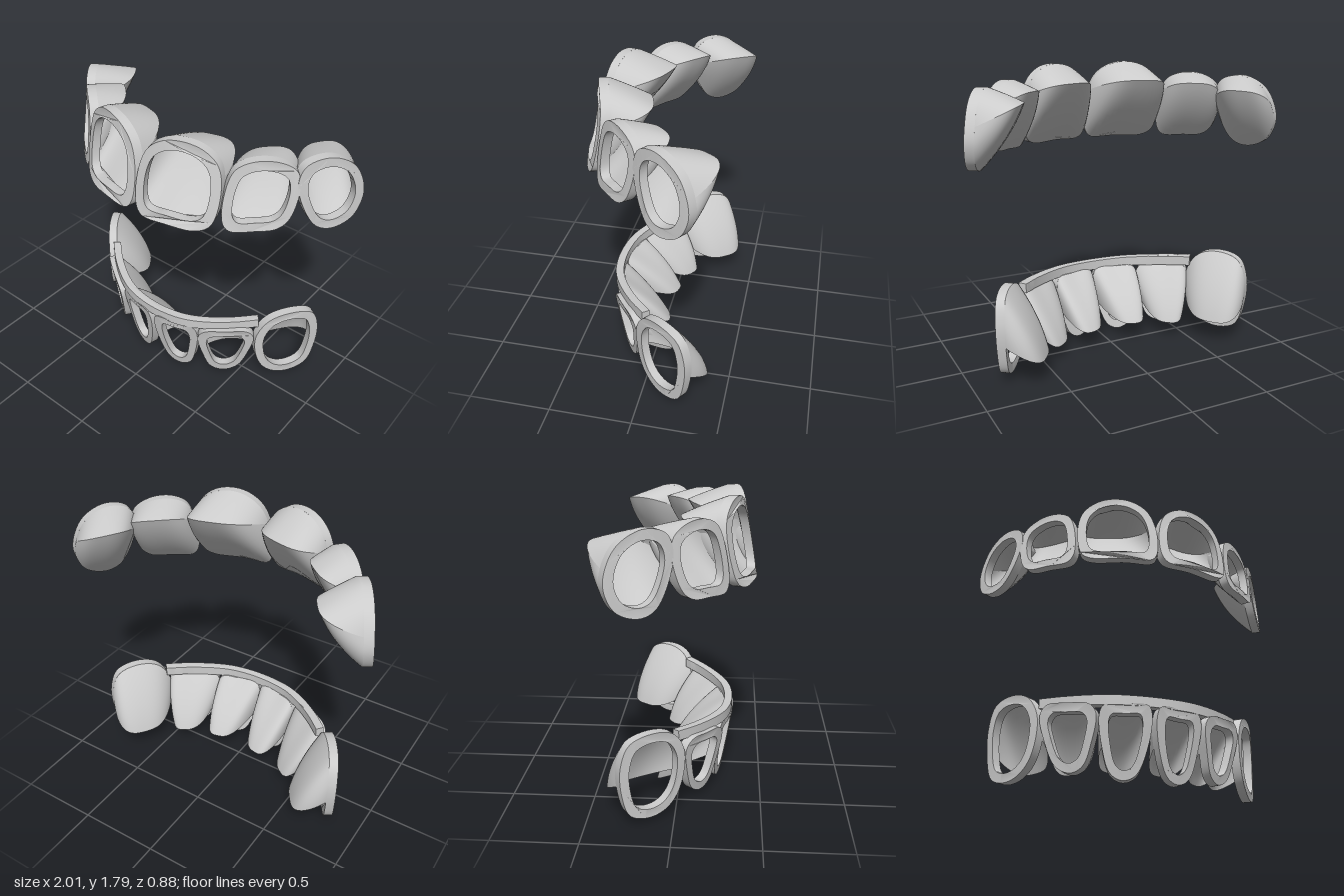
import * as THREE from 'three';
import { toCreasedNormals } from 'three/addons/utils/BufferGeometryUtils.js';

const RIM = 0.055;   // frame width
const DEPTH = 0.055; // frame thickness
const N = 80, K = 32, ROWS = 10;

// Each cap: centre and yaw of its front plane, lean, bow, outline (from the bottom,
// towards the outer side, over the top) and the middle of its rear edge.
const UPPER = [
  { name: 'upperCentral', x: 0.243, z: 0.345, yaw: 0.27, lean: -0.18, bow: 0.6, split: 1.6, back: [0.23, 1.69, 0.03],
    pts: [[-0.05, 1.3], [0.14, 1.302], [0.21, 1.345], [0.245, 1.55], [0.215, 1.69], [0.13, 1.765], [0.02, 1.79],
      [-0.09, 1.77], [-0.185, 1.7], [-0.24, 1.56], [-0.245, 1.36], [-0.21, 1.305]] },
  { name: 'upperLateral', x: 0.64, z: 0.14, yaw: 0.73, lean: -0.12, bow: 0.4, split: 1.57, back: [0.53, 1.67, -0.09],
    pts: [[-0.03, 1.31], [0.09, 1.32], [0.155, 1.37], [0.205, 1.54], [0.185, 1.65], [0.09, 1.71], [-0.04, 1.72],
      [-0.14, 1.675], [-0.19, 1.56], [-0.205, 1.36], [-0.17, 1.31]] },
  { name: 'upperCanine', x: 0.895, z: -0.155, yaw: 0.99, lean: -0.06, bow: 0.3, split: 1.54, back: [0.69, 1.64, -0.355],
    pts: [[0.02, 1.268], [0.14, 1.315], [0.195, 1.43], [0.18, 1.54], [0.11, 1.65], [-0.03, 1.712], [-0.16, 1.68],
      [-0.2, 1.58], [-0.15, 1.4], [-0.075, 1.295]] },
];
const LOWER = [
  { name: 'lowerCentral', x: 0.155, z: 0.26, yaw: 0.25, lean: 0.16, bow: 0.4, split: 0.2, back: [0.145, 0.12, -0.05],
    pts: [[0.015, 0.0], [0.085, 0.04], [0.135, 0.2], [0.15, 0.37], [0.125, 0.42], [0, 0.424], [-0.13, 0.42],
      [-0.15, 0.37], [-0.13, 0.2], [-0.06, 0.03]] },
  { name: 'lowerLateral', x: 0.46, z: 0.15, yaw: 0.62, lean: 0.14, bow: 0.3, split: 0.21, back: [0.38, 0.1, -0.1],
    pts: [[-0.01, 0.045], [0.08, 0.09], [0.15, 0.25], [0.175, 0.39], [0.13, 0.445], [0, 0.442], [-0.13, 0.425],
      [-0.172, 0.37], [-0.14, 0.2], [-0.085, 0.075]] },
  { name: 'lowerCanine', x: 0.745, z: -0.115, yaw: 0.95, lean: 0.02, bow: 0.3, split: 0.25, back: [0.57, 0.15, -0.31],
    pts: [[0.04, 0.037], [0.15, 0.08], [0.2, 0.22], [0.205, 0.4], [0.15, 0.525], [0, 0.56], [-0.13, 0.52],
      [-0.205, 0.4], [-0.2, 0.24], [-0.15, 0.12], [-0.07, 0.055]] },
];

const solid = new THREE.MeshStandardMaterial({ color: 0xcccccc });
const thin = new THREE.MeshStandardMaterial({ color: 0xcccccc, side: THREE.DoubleSide });

function named(geometry, material, name) {
  const mesh = new THREE.Mesh(geometry, material);
  mesh.name = name;
  return mesh;
}

// Smooth surface ruled between two rows of points, swelling by bulge in the middle
function ruled(from, to, bulge) {
  const pos = [], index = [], p = new THREE.Vector3();
  for (let j = 0; j <= ROWS; j++) {
    const t = j / ROWS;
    for (let i = 0; i <= K; i++) {
      p.lerpVectors(from[i], to[i], t);
      p.addScaledVector(bulge, 4 * t * (1 - t) * Math.sin(Math.PI * i / K));
      pos.push(p.x, p.y, p.z);
      if (i < K && j < ROWS) {
        const a = j * (K + 1) + i, b = a + K + 1;
        index.push(a, b, a + 1, a + 1, b, b + 1);
      }
    }
  }
  const g = new THREE.BufferGeometry();
  g.setAttribute('position', new THREE.Float32BufferAttribute(pos, 3));
  g.setIndex(index);
  g.computeVertexNormals();
  return g;
}

function makeCap(c, closedBelow) {
  const group = new THREE.Group();
  group.name = c.name;
  const curve = new THREE.CatmullRomCurve3(c.pts.map(([u, v]) => new THREE.Vector3(u, v, 0)), true);
  const outline = curve.getSpacedPoints(N).slice(0, N);
  const box = new THREE.Box3().setFromPoints(outline);
  const mid = box.getCenter(new THREE.Vector3());
  const half = box.getSize(new THREE.Vector3()).multiplyScalar(0.5);

  // Place a point of the flat outline on the leaning, bowed front plane
  const place = (u, v, w) => {
    const d = w + c.lean * (v - mid.y) + c.bow * (half.x * half.x - u * u);
    const s = Math.sin(c.yaw), k = Math.cos(c.yaw);
    return new THREE.Vector3(c.x + u * k + d * s, v, c.z - u * s + d * k);
  };

  // Open window frame
  const shape = new THREE.Shape(outline.map(p => new THREE.Vector2(p.x, p.y)));
  shape.holes.push(new THREE.Path(outline.map(p => new THREE.Vector2(
    mid.x + (p.x - mid.x) * (1 - RIM / half.x),
    mid.y + (p.y - mid.y) * (1 - RIM / half.y)))));
  const frame = new THREE.ExtrudeGeometry(shape, { depth: DEPTH, bevelEnabled: false });
  const a = frame.attributes.position;
  for (let i = 0; i < a.count; i++) {
    const p = place(a.getX(i), a.getY(i), a.getZ(i) - DEPTH);
    a.setXYZ(i, p.x, p.y, p.z);
  }
  group.add(named(toCreasedNormals(frame, 0.7), solid, 'windowFrame'));

  // Split the outline at the two sides into an upper and a lower arc
  const nearest = side => {
    let best = 0, gap = Infinity;
    outline.forEach((p, i) => {
      const d = Math.abs(p.y - c.split);
      if ((p.x - mid.x) * side > 0 && d < gap) { gap = d; best = i; }
    });
    return best;
  };
  const outer = nearest(1), inner = nearest(-1);
  const arc = (start, steps) => Array.from({ length: K + 1 }, (_, i) => {
    const f = start + steps * i / K + N, n = Math.floor(f);
    const p = outline[n % N].clone().lerp(outline[(n + 1) % N], f - n);
    return place(p.x, p.y, -DEPTH);
  });
  const over = (inner - outer + N) % N;
  const top = arc(outer, over);
  const bottom = arc(outer, over - N);

  // Arched rear edge between the two sides
  const centre = top[0].clone().lerp(top[K], 0.5);
  const reach = new THREE.Vector3(...c.back).sub(centre);
  const edge = top.map((_, i) => {
    const s = (1 - Math.cos(Math.PI * i / K)) / 2;
    const arch = Math.pow(Math.max(0, 1 - Math.pow(Math.abs(2 * s - 1), 3)), 0.6);
    return top[0].clone().lerp(top[K], s).addScaledVector(reach, arch);
  });

  const swell = reach.clone().setY(0).normalize();
  group.add(named(ruled(top, edge, swell.clone().multiplyScalar(closedBelow ? 0.01 : 0.03)), thin, 'rearShell'));
  if (closedBelow) group.add(named(ruled(edge, bottom, swell.clone().multiplyScalar(0.03)), thin, 'underside'));
  return group;
}

// Curved bar joining the lower caps
function makeBar() {
  const half = [[0.2, 0.295], [0.34, 0.235], [0.5, 0.125], [0.615, 0.02]];
  const pts = [...half.map(([x, z]) => [-x, z]).reverse(), [0, 0.32], ...half];
  const curve = new THREE.CatmullRomCurve3(pts.map(([x, z]) => new THREE.Vector3(x, -z, 0)));
  const front = [], rear = [];
  for (let i = 0; i <= 48; i++) {
    const p = curve.getPointAt(i / 48), t = curve.getTangentAt(i / 48);
    front.push(new THREE.Vector2(p.x, p.y));
    rear.unshift(new THREE.Vector2(p.x - t.y * 0.05, p.y + t.x * 0.05));
  }
  const g = new THREE.ExtrudeGeometry(new THREE.Shape([...front, ...rear]), { depth: 0.06, bevelEnabled: false });
  g.rotateX(-Math.PI / 2);
  const a = g.attributes.position;
  for (let i = 0; i < a.count; i++) a.setY(i, a.getY(i) + 0.415 + 0.09 * a.getX(i) ** 2);
  return named(toCreasedNormals(g, 0.7), solid, 'lowerBar');
}

export function createModel() {
  const model = new THREE.Group();
  model.name = 'openFaceToothCaps';
  for (const [name, caps] of [['upperRow', UPPER], ['lowerRow', LOWER]]) {
    const row = new THREE.Group();
    row.name = name;
    const left = new THREE.Group();
    left.name = name + 'Left';
    for (const c of caps) left.add(makeCap(c, caps === UPPER));
    const right = left.clone();
    right.name = name + 'Right';
    right.scale.x = -1;
    row.add(left, right);
    if (caps === LOWER) row.add(makeBar());
    model.add(row);
  }
  return model;
}
